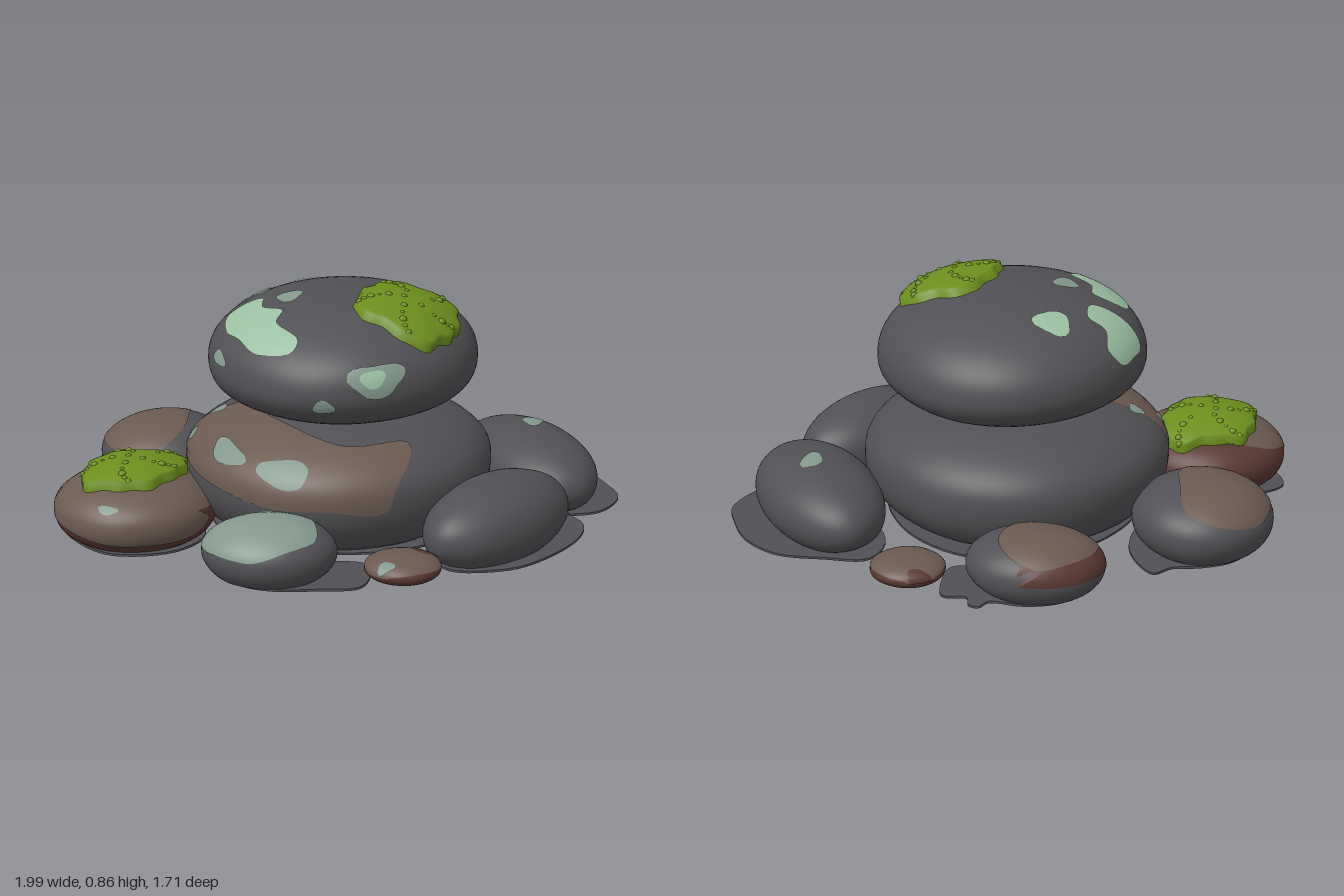
import * as THREE from 'three';
import { mergeVertices, mergeGeometries } from 'three/addons/utils/BufferGeometryUtils.js';

const mat = (name, color) => {
  const m = new THREE.MeshStandardMaterial({ color });
  m.name = name;
  return m;
};

const FLOOR = 0.012;

export function createModel() {
  const M = {
    stone: mat('dark stone', 0x515054),
    lichen: mat('grey lichen', 0x83988c),
    pale: mat('pale lichen', 0x9cc0a2),
    brown: mat('brown stone', 0x6b5a50),
    rust: mat('rust stone', 0x593831),
    moss: mat('moss', 0x6c8f1e),
  };
  const root = new THREE.Group();
  root.name = 'stoneCairn';

  // Rounded pebble: elliptical in plan, exponent n sets how boxy its profile is, cut flat below
  function stone(name, material, c, [rx, up, down, rz], { n = 2.1, yaw = 0, floor = FLOOR } = {}) {
    const group = new THREE.Group();
    group.name = name;
    group.position.set(...c);
    group.rotation.y = yaw;
    root.add(group);
    const s = { c, rx, rz, up, down, n, yaw, group, count: 0 };
    s.point = (d, lift = 0) => {
      const k = (Math.hypot(d.x, d.z) ** n + Math.abs(d.y) ** n) ** (-1 / n);
      const ry = d.y > 0 ? up : down;
      const wob = 1 + 0.008 * Math.sin(4 * d.x + 3 * d.z + c[0] * 9) * Math.cos(5 * d.z - 2 * d.y);
      const p = new THREE.Vector3(d.x * k * rx, d.y * k * ry, d.z * k * rz).multiplyScalar(wob);
      p.y = Math.max(p.y, floor - c[1]);
      const normal = new THREE.Vector3(d.x / rx, d.y / ry, d.z / rz).normalize();
      return p.addScaledVector(normal, lift);
    };
    let g = new THREE.SphereGeometry(1, 64, 40);
    g.deleteAttribute('uv');
    g.deleteAttribute('normal');
    g = mergeVertices(g, 1e-5);
    const pos = g.attributes.position, v = new THREE.Vector3();
    for (let i = 0; i < pos.count; i++) {
      const p = s.point(v.fromBufferAttribute(pos, i).normalize());
      pos.setXYZ(i, p.x, p.y, p.z);
    }
    g.computeVertexNormals();
    const mesh = new THREE.Mesh(g, material);
    mesh.name = name + 'Body';
    group.add(mesh);
    return s;
  }

  // Direction on a stone for a point given in plan (x, z) or in elevation (x, y)
  function direction(s, plane, [a, b]) {
    const { c, n } = s;
    if (plane === 'top') {
      const dx = a - c[0], dz = b - c[2], co = Math.cos(s.yaw), si = Math.sin(s.yaw);
      const x = (dx * co - dz * si) / s.rx, z = (dx * si + dz * co) / s.rz;
      return new THREE.Vector3(x, Math.max(0, 1 - Math.hypot(x, z) ** n) ** (1 / n), z).normalize();
    }
    const x = (a - c[0]) / s.rx, dy = b - c[1], y = dy / (dy > 0 ? s.up : s.down);
    const reach = Math.max(0, 1 - Math.abs(y) ** n) ** (1 / n);
    return new THREE.Vector3(x, y, Math.sqrt(Math.max(0, reach * reach - x * x))).normalize();
  }

  const oval = (x, y, rx, ry, wob = 0.12) => Array.from({ length: 14 }, (_, i) => {
    const a = i / 14 * Math.PI * 2, r = 1 + wob * Math.sin(3 * a + x * 17 + y * 5);
    return [x + Math.cos(a) * rx * r, y + Math.sin(a) * ry * r];
  });

  // Thin skin following the stone inside an outline; lift(t) is its height, t = 1 at the rim
  function patch(s, name, material, plane, outline, lift, ragged = 0) {
    const N = 72, R = 12;
    const curve = new THREE.CatmullRomCurve3(outline.map(([x, y]) => new THREE.Vector3(x, y, 0)), true);
    const pts = curve.getSpacedPoints(N).slice(0, N);
    const mid = pts.reduce((m, p) => m.addScaledVector(p, 1 / N), new THREE.Vector3());
    const centre = direction(s, plane, [mid.x, mid.y]);
    const rim = pts.map((p, i) => {
      const a = i / N * Math.PI * 2;
      p.sub(mid).multiplyScalar(1 + ragged * (Math.sin(a * 11) + 0.7 * Math.sin(a * 6 + 1))).add(mid);
      return direction(s, plane, [p.x, p.y]);
    });
    if (centre.dot(rim[0].clone().cross(rim[N >> 2])) < 0) rim.reverse();
    const xyz = [], idx = [];
    const add = (d, t) => xyz.push(...s.point(d, typeof lift === 'number' ? lift : lift(t)).toArray());
    add(centre, 0);
    for (let r = 1; r <= R; r++) for (let i = 0; i < N; i++) {
      const t = r / R;
      add(centre.clone().lerp(rim[i], t).normalize(), t);
      const j = (i + 1) % N, o = 1 + (r - 1) * N, q = o - N;
      if (r === 1) idx.push(0, 1 + i, 1 + j);
      else idx.push(q + i, o + i, o + j, q + i, o + j, q + j);
    }
    const g = new THREE.BufferGeometry();
    g.setAttribute('position', new THREE.Float32BufferAttribute(xyz, 3));
    g.setIndex(idx);
    g.computeVertexNormals();
    const mesh = new THREE.Mesh(g, material);
    mesh.name = name + (++s.count);
    s.group.add(mesh);
    return { centre, rim };
  }

  // Thick ragged cushion of moss with little buds
  function moss(s, outline, thick) {
    const lift = (t) => t === 1 ? -0.004 : thick * (1 - 0.4 * t * t);
    const { centre, rim } = patch(s, 'mossCushion', M.moss, 'top', outline, lift, 0.028);
    const buds = [];
    for (let k = 0; k < 26; k++) {
      const t = Math.sqrt((k + 0.5) / 26) * 0.9, d = centre.clone().lerp(rim[(k * 29) % rim.length], t).normalize();
      const p = s.point(d, lift(t) - 0.005);
      buds.push(new THREE.SphereGeometry(0.012 + 0.003 * Math.sin(k * 3), 10, 8).translate(p.x, p.y, p.z));
    }
    const mesh = new THREE.Mesh(mergeGeometries(buds), M.moss);
    mesh.name = 'mossBuds';
    s.group.add(mesh);
  }

  // Two large stacked stones
  const base = stone('baseStone', M.stone, [-0.02, 0.225, 0.018], [0.552, 0.22, 0.285, 0.565], { n: 2.3 });
  patch(base, 'brownFace', M.brown, 'front',
    [[-0.6, 0.27], [-0.45, 0.24], [-0.2, 0.205], [0.0, 0.21], [0.2, 0.2], [0.23, 0.28], [0.27, 0.375],
      [0.05, 0.39], [-0.2, 0.42], [-0.4, 0.41], [-0.55, 0.36]], 0.003);
  patch(base, 'lichen', M.lichen, 'front', oval(-0.36, 0.335, 0.065, 0.028), 0.006);
  patch(base, 'lichen', M.lichen, 'front', oval(-0.15, 0.315, 0.09, 0.04), 0.006);
  patch(base, 'lichen', M.lichen, 'top', oval(-0.45, 0.03, 0.028, 0.035), 0.006);
  patch(base, 'lichen', M.lichen, 'top', oval(-0.53, 0.12, 0.016, 0.03), 0.006);

  const top = stone('topStone', M.stone, [-0.003, 0.6, 0.02], [0.48, 0.243, 0.185, 0.535], { n: 2.2, floor: 0.43 });
  patch(top, 'lichen', M.pale, 'top',
    [[-0.46, -0.06], [-0.45, -0.15], [-0.41, -0.24], [-0.37, -0.25], [-0.35, -0.17], [-0.29, -0.15], [-0.29, -0.05],
      [-0.38, -0.03]], 0.004);
  patch(top, 'lichen', M.pale, 'top', oval(-0.175, -0.24, 0.065, 0.065), 0.004);
  patch(top, 'lichen', M.pale, 'top',
    [[-0.4, 0.07], [-0.29, 0.05], [-0.27, 0.16], [-0.19, 0.23], [-0.2, 0.31], [-0.11, 0.43], [-0.13, 0.47],
      [-0.25, 0.43], [-0.33, 0.32], [-0.39, 0.22]], 0.004);
  patch(top, 'lichen', M.lichen, 'top', oval(-0.185, 0.1, 0.045, 0.06), 0.004);
  patch(top, 'lichen', M.lichen, 'front', oval(0.16, 0.655, 0.09, 0.052, 0.16), 0.004);
  patch(top, 'lichen', M.pale, 'front', oval(0.15, 0.66, 0.04, 0.027), 0.006);
  patch(top, 'lichen', M.lichen, 'front', oval(-0.395, 0.655, 0.03, 0.022), 0.004);
  patch(top, 'lichen', M.lichen, 'front', oval(-0.01, 0.57, 0.038, 0.024), 0.004);
  moss(top, [[0.06, 0.12], [0.1, 0.0], [0.14, -0.07], [0.27, -0.07], [0.37, -0.03], [0.41, 0.08], [0.4, 0.2],
    [0.35, 0.31], [0.27, 0.37], [0.15, 0.33], [0.06, 0.26]], 0.038);

  // Ring of smaller stones
  const mossy = stone('mossyStone', M.rust, [-0.705, 0.11, 0.325], [0.287, 0.132, 0.135, 0.285], { n: 2.2 });
  patch(mossy, 'brownCap', M.brown, 'top',
    [[-0.93, 0.2], [-0.99, 0.36], [-0.9, 0.53], [-0.71, 0.605], [-0.52, 0.53], [-0.425, 0.36], [-0.48, 0.19],
      [-0.68, 0.14]], 0.003);
  patch(mossy, 'brownFace', M.brown, 'front',
    [[-0.985, 0.11], [-0.9, 0.088], [-0.75, 0.062], [-0.6, 0.06], [-0.47, 0.07], [-0.43, 0.11], [-0.5, 0.17],
      [-0.7, 0.19], [-0.9, 0.17]], 0.003);
  patch(mossy, 'lichen', M.lichen, 'front', oval(-0.75, 0.177, 0.036, 0.011), 0.006);
  moss(mossy, [[-0.88, 0.3], [-0.84, 0.16], [-0.75, 0.14], [-0.62, 0.1], [-0.57, 0.13], [-0.53, 0.25],
    [-0.56, 0.38], [-0.62, 0.47], [-0.76, 0.5], [-0.87, 0.45]], 0.045);

  const backLeft = stone('backLeftStone', M.stone, [-0.71, 0.12, -0.26], [0.248, 0.135, 0.15, 0.257]);
  patch(backLeft, 'brownCap', M.brown, 'top',
    [[-0.945, -0.26], [-0.91, -0.4], [-0.8, -0.48], [-0.67, -0.46], [-0.63, -0.3], [-0.63, -0.14],
      [-0.7, -0.03], [-0.84, -0.06], [-0.92, -0.15]], 0.003);

  const back = stone('backStone', M.stone, [-0.17, 0.105, -0.67], [0.235, 0.112, 0.125, 0.187]);
  patch(back, 'rustRim', M.rust, 'top',
    [[-0.4, -0.62], [-0.405, -0.7], [-0.36, -0.79], [-0.26, -0.845], [-0.13, -0.857], [-0.2, -0.75], [-0.3, -0.68]], 0.002);
  patch(back, 'brownCap', M.brown, 'top',
    [[-0.375, -0.65], [-0.36, -0.72], [-0.3, -0.79], [-0.2, -0.835], [-0.1, -0.8], [-0.05, -0.7], [-0.1, -0.58],
      [-0.2, -0.51], [-0.34, -0.55]], 0.004);

  const front = stone('frontStone', M.stone, [-0.18, 0.1, 0.665], [0.228, 0.11, 0.125, 0.187]);
  patch(front, 'lichenCap', M.lichen, 'top',
    [[-0.405, 0.66], [-0.37, 0.56], [-0.25, 0.5], [-0.1, 0.51], [-0.05, 0.58], [-0.02, 0.67], [-0.02, 0.75],
      [-0.11, 0.825], [-0.2, 0.848], [-0.3, 0.82], [-0.38, 0.75]], 0.003);

  const backRight = stone('backRightStone', M.stone, [0.655, 0.112, -0.265], [0.36, 0.155, 0.145, 0.209], { yaw: -1.01 });
  patch(backRight, 'lichen', M.lichen, 'top', oval(0.67, -0.3, 0.038, 0.058), 0.004);

  const frontRight = stone('frontRightStone', M.stone, [0.565, 0.112, 0.325], [0.335, 0.155, 0.145, 0.187], { yaw: 0.96 });
  patch(frontRight, 'rustSpot', M.rust, 'front',
    [[0.79, 0.085], [0.83, 0.09], [0.87, 0.115], [0.875, 0.135], [0.84, 0.13], [0.8, 0.11]], 0.004);

  // Little pebbles, front and back
  for (const [name, z, rustX, rustZ] of [['frontPebble', 0.65, 0.34, 0.59], ['backPebble', -0.66, 0.2, -0.77]]) {
    const p = stone(name, M.rust, [0.267, 0.052, z], [0.13, 0.048, 0.045, 0.12]);
    patch(p, 'brownCap', M.brown, 'top', oval(0.265, z, 0.128, 0.118, 0.02), 0.002);
    patch(p, 'rustSpot', M.rust, 'top', oval(rustX, rustZ, 0.05, 0.035), 0.004);
    if (z > 0) patch(p, 'lichen', M.lichen, 'top', oval(0.22, 0.735, 0.028, 0.02), 0.004);
  }

  // Thin ground slabs under the stones
  const slabs = {
    baseSlab: oval(-0.01, 0.0, 0.47, 0.48, 0.03),
    backRightSlab: [[0.39, -0.42], [0.43, -0.55], [0.58, -0.56], [0.75, -0.55], [0.88, -0.46], [0.96, -0.32],
      [0.995, -0.2], [0.92, -0.04], [0.78, 0.0], [0.62, -0.06], [0.48, -0.22]],
    frontRightSlab: [[0.45, 0.2], [0.53, 0.06], [0.64, -0.02], [0.76, -0.03], [0.86, 0.07], [0.86, 0.2], [0.76, 0.4],
      [0.62, 0.54], [0.42, 0.57], [0.35, 0.42]],
    backSlab: [[-0.34, -0.67], [-0.27, -0.77], [-0.15, -0.81], [-0.03, -0.8], [0.0, -0.84], [0.035, -0.83], [0.05, -0.78],
      [0.13, -0.78], [0.15, -0.68], [0.13, -0.57], [0.0, -0.56], [-0.2, -0.54]],
    frontSlab: [[-0.34, 0.66], [-0.27, 0.77], [-0.15, 0.81], [0.0, 0.79], [0.13, 0.76], [0.16, 0.66], [0.13, 0.55],
      [0.0, 0.54], [-0.2, 0.54]],
    backLeftSlab: [[-0.9, -0.25], [-0.83, -0.4], [-0.72, -0.46], [-0.62, -0.48], [-0.56, -0.53], [-0.5, -0.46],
      [-0.46, -0.33], [-0.5, -0.15], [-0.7, -0.06], [-0.83, -0.12]],
    mossySlab: [[-0.995, 0.24], [-0.85, 0.13], [-0.65, 0.1], [-0.5, 0.2], [-0.46, 0.38], [-0.55, 0.52], [-0.75, 0.56],
      [-0.92, 0.42]],
  };
  for (const [name, pts] of Object.entries(slabs)) {
    const shape = new THREE.Shape();
    const curve = new THREE.CatmullRomCurve3(pts.map(([x, z]) => new THREE.Vector3(x, -z, 0)), true);
    shape.setFromPoints(curve.getPoints(60).slice(0, 60).map((p) => new THREE.Vector2(p.x, p.y)));
    const g = new THREE.ExtrudeGeometry(shape, { depth: 0.008, bevelEnabled: false }).rotateX(-Math.PI / 2);
    const mesh = new THREE.Mesh(g, M.stone);
    mesh.name = name;
    mesh.position.y = 0.01;
    root.add(mesh);
  }
  return root;
}
